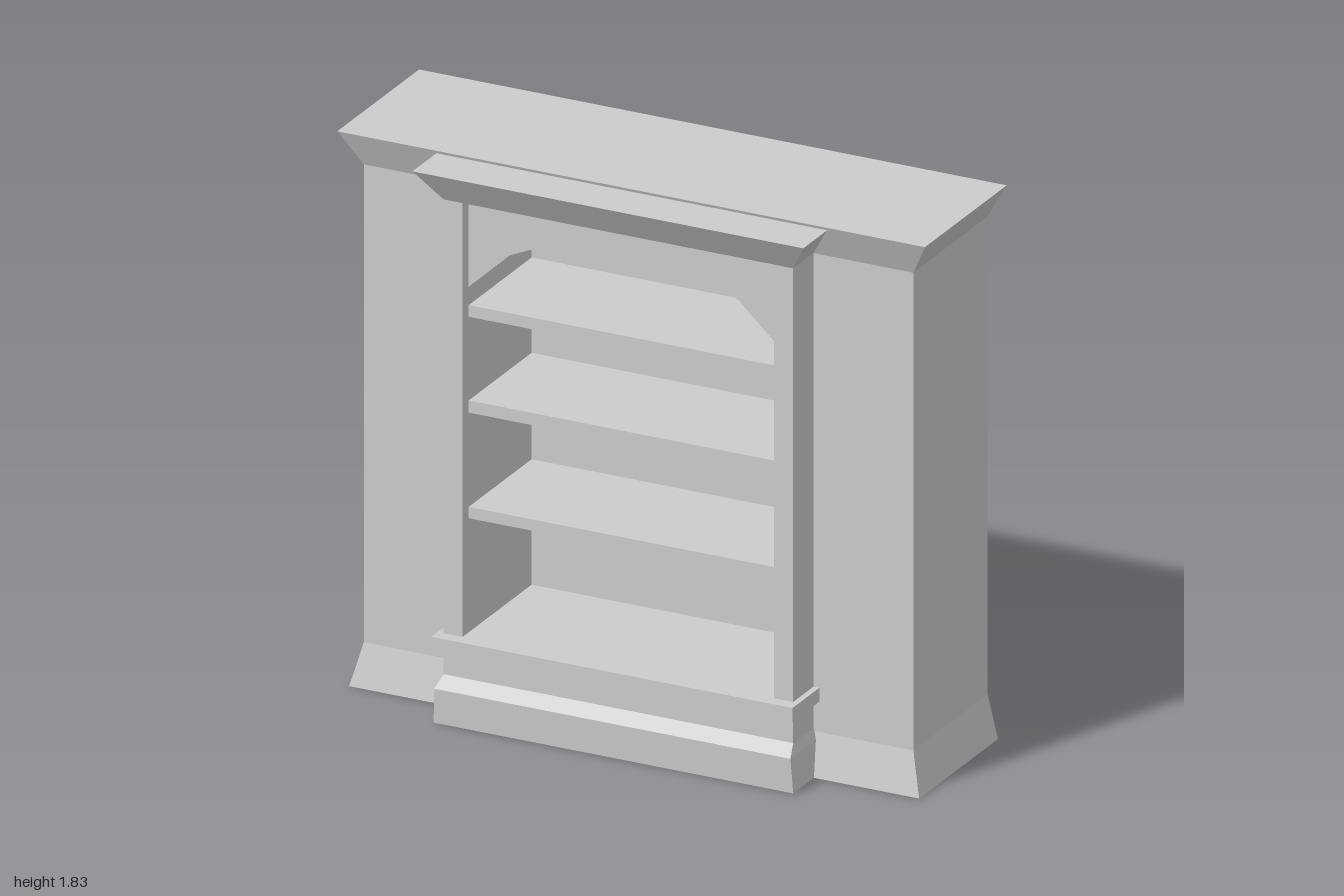
import * as THREE from 'three';

const material = new THREE.MeshStandardMaterial({ color: 0xcccccc, flatShading: true });

function addMesh(group, name, geometry) {
  const mesh = new THREE.Mesh(geometry, material);
  mesh.name = name;
  group.add(mesh);
  return mesh;
}

function addBox(group, name, [x0, x1], [y0, y1], [z0, z1]) {
  const mesh = addMesh(group, name, new THREE.BoxGeometry(x1 - x0, y1 - y0, z1 - z0));
  mesh.position.set((x0 + x1) / 2, (y0 + y1) / 2, (z0 + z1) / 2);
}

// Stack of plan outlines; each level is [height, half width, front z].
// With a gap, the front stays open between x = -gap and x = gap.
function loft(levels, back, gap = 0, topCap = true) {
  const rings = levels.map(([y, w, f]) => {
    const plan = gap
      ? [[gap, f], [w, f], [w, back], [-w, back], [-w, f], [-gap, f]]
      : [[-w, f], [w, f], [w, back], [-w, back]];
    return plan.map(([x, z]) => [x, y, z]);
  });
  const positions = [];
  const tri = (a, b, c) => positions.push(...a, ...b, ...c);
  const n = rings[0].length;
  for (let j = 0; j < rings.length - 1; j++) {
    for (let i = 0; i < (gap ? n - 1 : n); i++) {
      const k = (i + 1) % n;
      const [lo, hi] = [rings[j], rings[j + 1]];
      tri(lo[i], lo[k], hi[k]);
      tri(lo[i], hi[k], hi[i]);
    }
  }
  const [bottom, top] = [rings[0], rings[rings.length - 1]];
  for (let i = 1; i < n - 1; i++) {
    tri(bottom[0], bottom[i + 1], bottom[i]);
    if (topCap) tri(top[0], top[i], top[i + 1]);
  }
  const geometry = new THREE.BufferGeometry();
  geometry.setAttribute('position', new THREE.Float32BufferAttribute(positions, 3));
  geometry.computeVertexNormals();
  return geometry;
}

export function createModel() {
  const group = new THREE.Group();
  group.name = 'bookcase';

  const back = -0.35, nicheBack = -0.18, nicheFront = 0.24, inner = 0.53;

  // Wide rear carcass with a flared foot, open behind the niche
  addMesh(group, 'carcass', loft(
    [[0, 0.97, 0.175], [0.14, 0.935, 0.145], [1.71, 0.935, 0.145]], back, 0.59, false));
  addMesh(group, 'carcassCornice', loft([[1.71, 0.935, 0.145], [1.825, 1, 0.195]], back));

  // Projecting centre section: plinth, ledge, pilasters and crown
  addMesh(group, 'plinth', loft(
    [[0, 0.612, 0.313], [0.115, 0.606, 0.32], [0.15, 0.595, 0.28], [0.245, 0.595, 0.28]], 0.1));
  addBox(group, 'ledge', [-0.615, 0.615], [0.24, 0.285], [0.145, 0.323]);
  for (const [name, s] of [['leftPilaster', 1], ['rightPilaster', -1]]) {
    const xs = [s * inner, s * 0.595].sort((a, b) => a - b);
    addBox(group, name, xs, [0.285, 1.71], [0.1, 0.28]);
  }
  addMesh(group, 'crown', loft([[1.71, 0.595, 0.28], [1.815, 0.665, 0.35]], 0.1));

  // Niche walls and arched head in one extrusion
  const half = [[inner, 1.42], [0.39, 1.55], [0.235, 1.62], [0.08, 1.655]];
  const arch = [...half, ...half.map(([x, y]) => [-x, y]).reverse()];
  const outline = [[0.56, 0.26], [0.56, 1.71], [-0.56, 1.71], [-0.56, 0.26], [-inner, 0.26],
    ...arch.reverse(), [inner, 0.26]];
  const surround = new THREE.ExtrudeGeometry(
    new THREE.Shape(outline.map(([x, y]) => new THREE.Vector2(x, y))),
    { depth: nicheFront - nicheBack, bevelEnabled: false });
  surround.translate(0, 0, nicheBack);
  addMesh(group, 'archedSurround', surround);
  addBox(group, 'nicheBack', [-0.56, 0.56], [0.24, 1.71], [nicheBack - 0.02, nicheBack]);
  addBox(group, 'nicheFloor', [-inner, inner], [0.24, 0.285], [nicheBack, 0.145]);

  // Shelves
  for (const [y0, y1] of [[0.66, 0.697], [1.007, 1.047], [1.322, 1.36]]) {
    addBox(group, 'shelf', [-inner, inner], [y0, y1], [nicheBack, nicheFront]);
  }

  return group;
}
